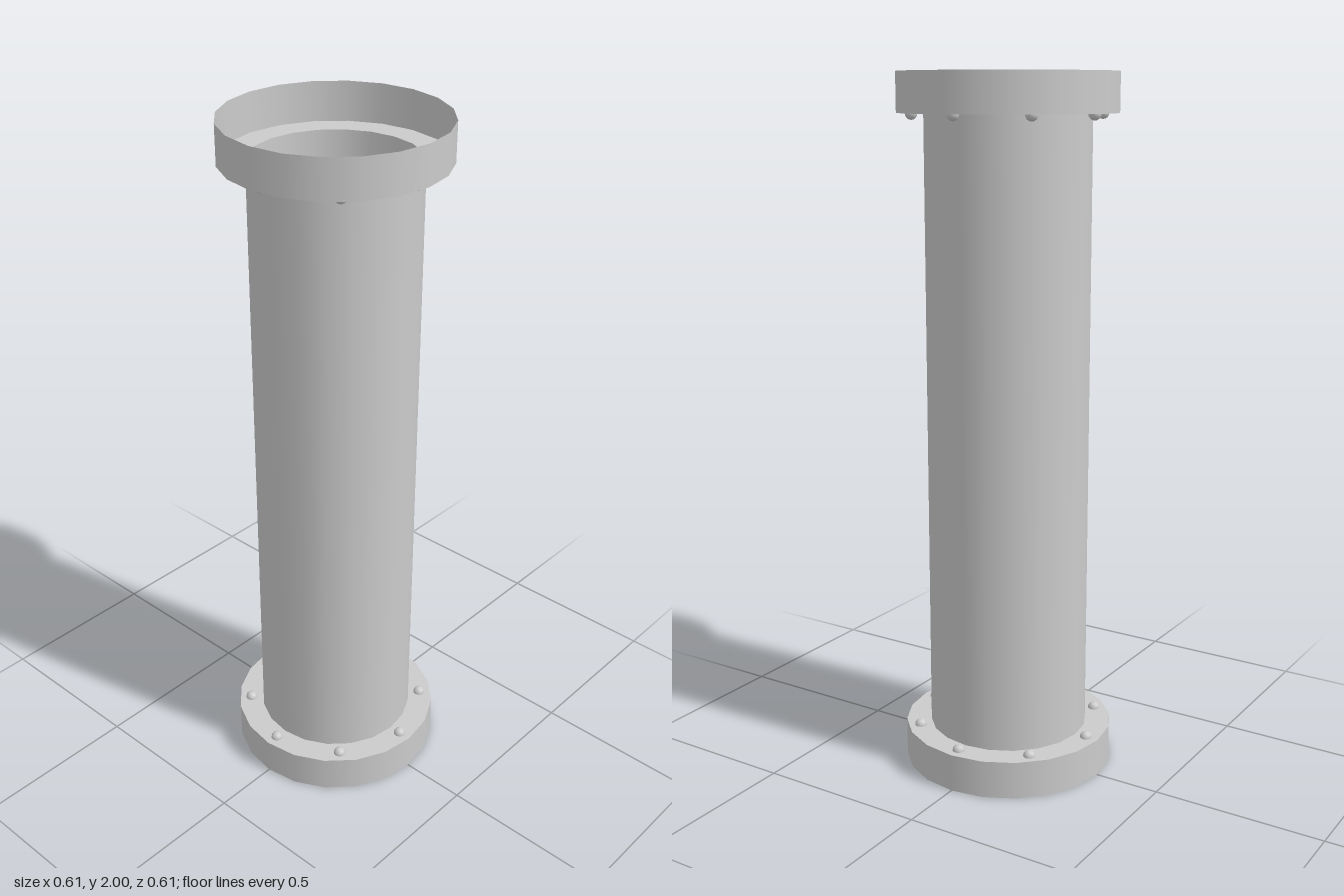
import * as THREE from 'three';

const SEGMENTS = 20;
const PIPE_R = 0.232, FLANGE_R = 0.306, FLANGE_H = 0.11, HEIGHT = 2;
const BOLT_R = 0.018, BOLT_CIRCLE = 0.268, BOLTS = 8;

const material = new THREE.MeshStandardMaterial({ color: 0xcccccc, side: THREE.DoubleSide });

function part(name, geometry, y = 0) {
  const mesh = new THREE.Mesh(geometry, material);
  mesh.name = name;
  mesh.position.y = y;
  return mesh;
}

// Hollow flange at the foot of the pipe: open rim, ring face and domed bolts
function createFlange(name) {
  const flange = new THREE.Group();
  flange.name = name;
  flange.add(part('rim',
    new THREE.CylinderGeometry(FLANGE_R, FLANGE_R, FLANGE_H, SEGMENTS, 1, true), FLANGE_H / 2));
  flange.add(part('ringFace',
    new THREE.RingGeometry(PIPE_R, FLANGE_R, SEGMENTS).rotateX(-Math.PI / 2), FLANGE_H));

  const dome = new THREE.SphereGeometry(BOLT_R, 10, 4, 0, Math.PI * 2, 0, Math.PI / 2);
  for (let i = 0; i < BOLTS; i++) {
    const a = (i / BOLTS) * Math.PI * 2;
    const bolt = part('bolt', dome, FLANGE_H);
    bolt.position.x = Math.cos(a) * BOLT_CIRCLE;
    bolt.position.z = Math.sin(a) * BOLT_CIRCLE;
    flange.add(bolt);
  }
  return flange;
}

export function createModel() {
  const model = new THREE.Group();
  model.name = 'flangedPipe';

  // Open pipe between the two ring faces
  const length = HEIGHT - 2 * FLANGE_H;
  model.add(part('pipe',
    new THREE.CylinderGeometry(PIPE_R, PIPE_R, length, SEGMENTS, 1, true), HEIGHT / 2));

  // Bottom flange, and the same one turned over for the top
  model.add(createFlange('bottomFlange'));
  const top = createFlange('topFlange');
  top.rotation.x = Math.PI;
  top.position.y = HEIGHT;
  model.add(top);

  return model;
}
